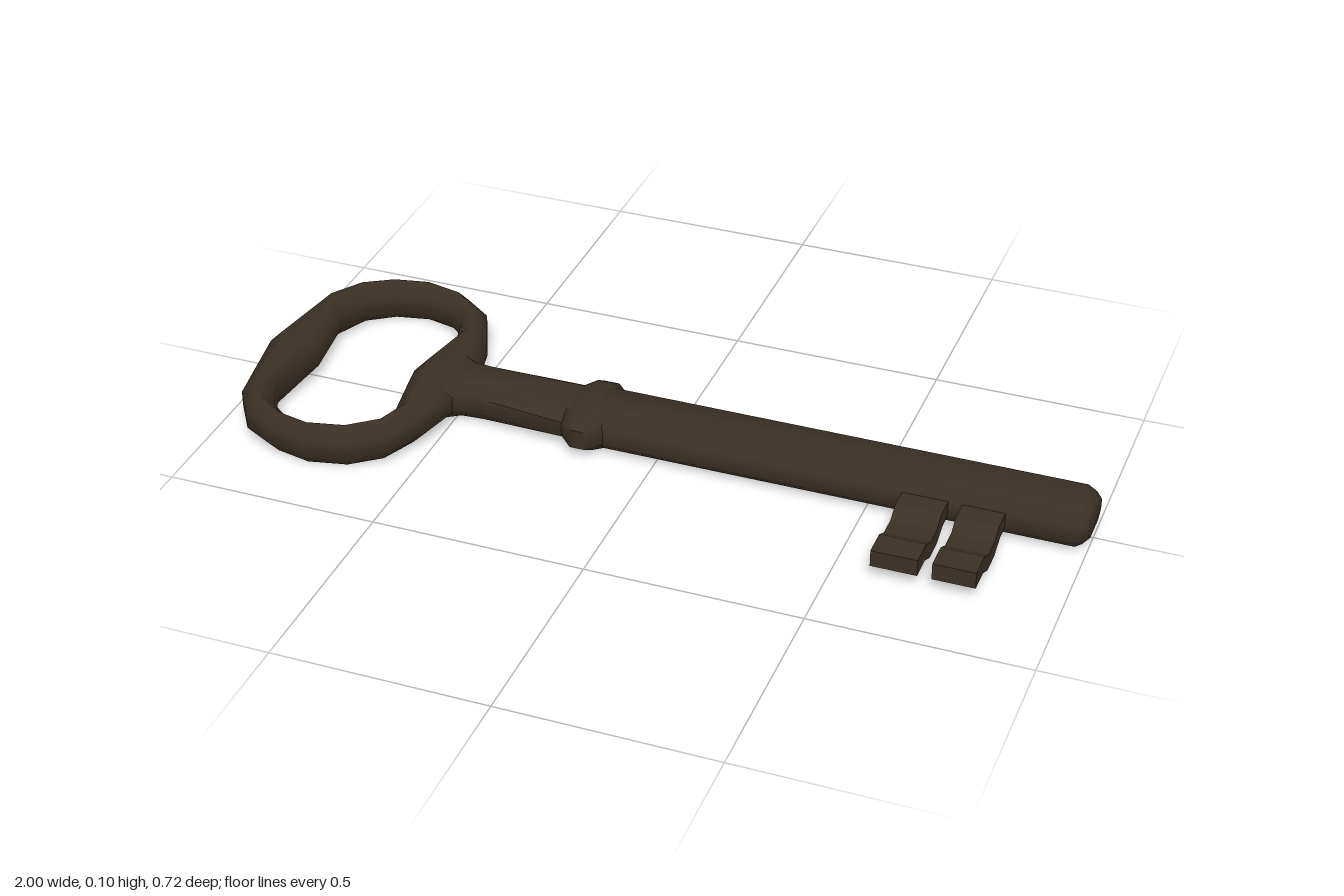
import * as THREE from 'three';
import { toCreasedNormals } from 'three/addons/utils/BufferGeometryUtils.js';

const MID = 0.0515; // height of the key's centre plane

// Skin a list of eight-point rings; either close the loop or cap both ends.
function loft(rings, closed) {
  const n = rings[0].length, pos = rings.flat(2), idx = [];
  const count = closed ? rings.length : rings.length - 1;
  for (let i = 0; i < count; i++) {
    const a = i * n, b = ((i + 1) % rings.length) * n;
    for (let j = 0; j < n; j++) {
      const k = (j + 1) % n;
      idx.push(a + j, b + j, b + k, a + j, b + k, a + k);
    }
  }
  if (!closed) {
    const e = (rings.length - 1) * n;
    for (let j = 1; j < n - 1; j++) idx.push(0, j, j + 1, e, e + j + 1, e + j);
  }
  const g = new THREE.BufferGeometry();
  g.setAttribute('position', new THREE.Float32BufferAttribute(pos, 3));
  g.setIndex(idx);
  return toCreasedNormals(g, 1.0);
}

// Chamfered rectangle as [across, up] fractions, turning from across to up.
const octagon = (f, s) => [[1, -s], [1, s], [f, 1], [-f, 1], [-1, s], [-1, -s], [-f, -1], [f, -1]];

// Straight part along x from stations [x, half width, half height].
const bar = (stations) => loft(stations.map(([x, w, h]) =>
  octagon(0.6, 0.45).map(([a, u]) => [x, MID + u * h, a * w])), false);

export function createModel() {
  const key = new THREE.Group();
  key.name = 'key';
  const iron = new THREE.MeshStandardMaterial({ color: 0x3a3025 });
  iron.name = 'dark iron';
  const add = (name, geometry) => {
    const mesh = new THREE.Mesh(geometry, iron);
    mesh.name = name;
    key.add(mesh);
    return mesh;
  };

  // Bow: outer x, outer z, inner x, inner z around half of the handle
  const half = [
    [-0.5, 0, -0.625, 0], [-0.495, -0.07, -0.615, -0.06], [-0.52, -0.18, -0.594, -0.175],
    [-0.565, -0.285, -0.61, -0.235], [-0.64, -0.34, -0.665, -0.285], [-0.74, -0.36, -0.74, -0.305],
    [-0.835, -0.34, -0.81, -0.29], [-0.91, -0.3, -0.866, -0.245], [-0.96, -0.225, -0.9, -0.165],
    [-1, 0, -0.877, 0],
  ];
  const mirrored = half.slice(1, -1).reverse().map(([ox, oz, ix, iz]) => [ox, -oz, ix, -iz]);
  add('bow', loft([...half, ...mirrored].map(([ox, oz, ix, iz]) => {
    const cx = (ox + ix) / 2, cz = (oz + iz) / 2, dx = ox - cx, dz = oz - cz;
    const w = Math.hypot(dx, dz);
    return octagon(Math.max(0.1, (w - 0.03) / w), 0.41)
      .map(([a, u]) => [cx + a * dx, MID + u * MID, cz + a * dz]);
  }), true));

  // Neck flares into the bow
  add('neck', bar([[-0.56, 0.14, 0.046], [-0.525, 0.11, 0.048], [-0.49, 0.068, 0.049],
    [-0.44, 0.062, 0.049], [-0.19, 0.085, 0.039]]));

  // Collar between neck and shaft
  add('collar', bar([[-0.222, 0.082, 0.038], [-0.19, 0.111, 0.0515],
    [-0.155, 0.111, 0.0515], [-0.122, 0.08, 0.047]]));

  // Shaft with a chamfered tip
  add('shaft', bar([[-0.16, 0.08, 0.0515], [0.97, 0.08, 0.0515], [0.985, 0.076, 0.042], [1, 0.06, 0.028]]));

  // Two bits with the same stepped profile, drawn as z across and y up
  const profile = [[0.06, 0.032], [0.115, 0.032], [0.16, 0.012], [0.215, 0.012], [0.255, 0.032],
    [0.314, 0.032], [0.314, 0.072], [0.25, 0.072], [0.213, 0.052], [0.165, 0.052], [0.13, 0.072], [0.06, 0.072]];
  const shape = new THREE.Shape(profile.map(([z, y]) => new THREE.Vector2(-z, y)));
  for (const [name, x, length] of [['innerBit', 0.585, 0.105], ['outerBit', 0.722, 0.097]]) {
    const g = new THREE.ExtrudeGeometry(shape, { depth: length, bevelEnabled: false });
    g.rotateY(Math.PI / 2);
    add(name, g).position.x = x;
  }
  return key;
}
